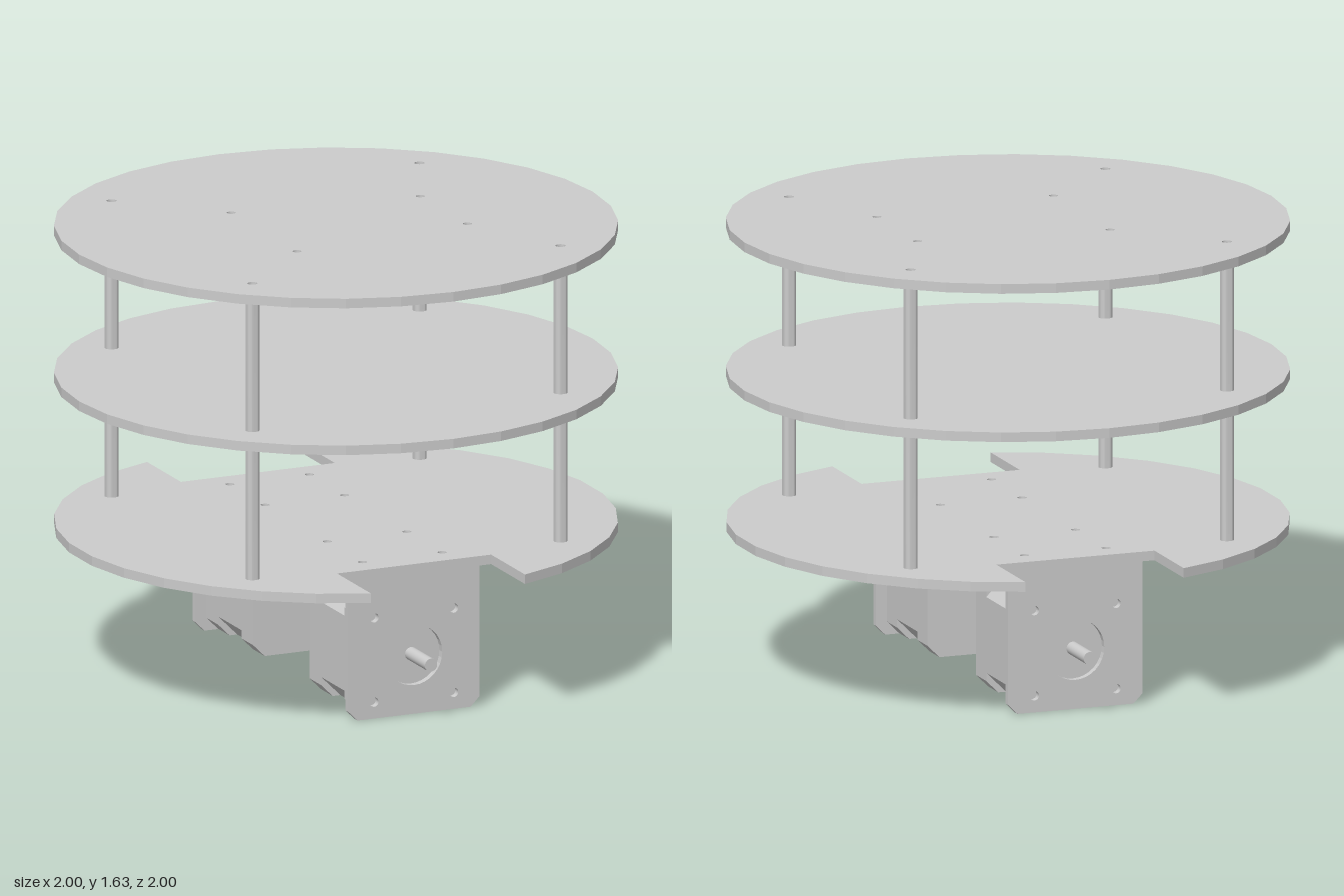
import * as THREE from 'three';
import { toCreasedNormals } from 'three/addons/utils/BufferGeometryUtils.js';

const mat = new THREE.MeshStandardMaterial({ color: 0xcccccc });
const T = 0.035; // plate thickness
const S = 0.025; // bracket sheet thickness
const AXIS = 0.215; // motor shaft height

function add(parent, name, geo, x = 0, y = 0, z = 0) {
  const m = new THREE.Mesh(geo, mat);
  m.name = name;
  m.position.set(x, y, z);
  parent.add(m);
  return m;
}

const polygon = (pts) => new THREE.Shape(pts.map(([x, y]) => new THREE.Vector2(x, y)));
const extrude = (shape, depth) =>
  new THREE.ExtrudeGeometry(shape, { depth, bevelEnabled: false, curveSegments: 16 });

function hole(shape, x, y, r) {
  shape.holes.push(new THREE.Path().absarc(x, y, r, 0, Math.PI * 2, true));
}

// square with cut corners
function chamferedSquare(h, c) {
  return polygon([[h - c, -h], [h, -h + c], [h, h - c], [h - c, h],
    [-h + c, h], [-h, h - c], [-h, -h + c], [-h + c, -h]]);
}

const corners = (x, z = x) => [[x, z], [-x, z], [-x, -z], [x, -z]];

// round deck, lying flat, with the post holes and any extra holes
function deck(shape, extra = []) {
  corners(0.6).forEach(([x, z]) => hole(shape, x, z, 0.018));
  extra.forEach(([x, z]) => hole(shape, x, z, 0.016));
  return extrude(shape, T).rotateX(-Math.PI / 2);
}

const disc = () => new THREE.Shape().absarc(0, 0, 1, 0, Math.PI * 2);

// disc with a rectangular notch at the front and the back
function notchedDisc() {
  const w = 0.3, inner = 0.665, n = 13, a0 = Math.acos(w), pts = [];
  for (const side of [0, Math.PI]) {
    for (let i = 0; i <= n; i++) {
      const a = side - a0 + (2 * a0 * i) / n;
      pts.push([Math.cos(a), Math.sin(a)]);
    }
    const s = side ? -1 : 1;
    pts.push([w * s, inner * s], [-w * s, inner * s]);
  }
  return polygon(pts);
}

function motorUnit() {
  const unit = new THREE.Group();

  // upright bracket face with boss opening and screw holes
  const w = 0.255, c = 0.035;
  const face = polygon([[-w + c, 0], [w - c, 0], [w, c], [w, 0.515], [-w, 0.515], [-w, c]]);
  hole(face, 0, AXIS, 0.11);
  corners(0.155).forEach(([x, y]) => hole(face, x, AXIS + y, 0.017));
  add(unit, 'bracketFace', extrude(face, S), 0, 0, 0.64);

  // slotted bracket flange under the lower deck
  const flange = polygon([[-w + c, 0.155], [w - c, 0.155], [w, 0.155 + c],
    [w, 0.64], [-w, 0.64], [-w, 0.155 + c]]);
  for (const x of [-0.155, 0.155]) {
    const slot = new THREE.Path();
    slot.absarc(x, 0.58, 0.018, Math.PI, 0, true);
    slot.absarc(x, 0.25, 0.018, 0, -Math.PI, true);
    slot.closePath();
    flange.holes.push(slot);
  }
  add(unit, 'bracketFlange', extrude(flange, S).rotateX(Math.PI / 2), 0, 0.515, 0);

  // motor: two end caps around a more deeply chamfered core
  add(unit, 'motorRearCap', extrude(chamferedSquare(0.213, 0.045), 0.1), 0, AXIS, 0.24);
  add(unit, 'motorCore', extrude(chamferedSquare(0.213, 0.075), 0.2), 0, AXIS, 0.34);
  add(unit, 'motorFrontCap', extrude(chamferedSquare(0.213, 0.045), 0.1), 0, AXIS, 0.54);
  const shaft = new THREE.CylinderGeometry(0.024, 0.024, 0.17, 24).rotateX(Math.PI / 2);
  add(unit, 'motorShaft', shaft, 0, AXIS, 0.725);
  return unit;
}

export function createModel() {
  const model = new THREE.Group();
  model.name = 'robotChassis';

  // three decks
  const bracketHoles = [...corners(0.155, 0.265), ...corners(0.155, 0.565)];
  add(model, 'lowerDeck', deck(notchedDisc(), bracketHoles), 0, 0.515, 0);
  add(model, 'middleDeck', deck(disc()), 0, 1.06, 0);
  const topHoles = [[-0.28, 0.28], [-0.28, -0.28], [0.42, 0.2], [0.42, -0.2]];
  add(model, 'topDeck', deck(disc(), topHoles), 0, 1.6, 0);

  // hollow posts between the decks
  for (const [y0, y1] of [[0.55, 1.06], [1.095, 1.6]]) {
    const ring = new THREE.Shape().absarc(0, 0, 0.025, 0, Math.PI * 2);
    hole(ring, 0, 0, 0.018);
    const geo = toCreasedNormals(extrude(ring, y1 - y0).rotateX(-Math.PI / 2), 0.6);
    corners(0.6).forEach(([x, z]) => add(model, 'post', geo, x, y0, z));
  }

  // motors facing front and back
  const front = motorUnit();
  front.name = 'frontMotor';
  const back = motorUnit();
  back.name = 'backMotor';
  back.rotation.y = Math.PI;
  model.add(front, back);
  return model;
}
